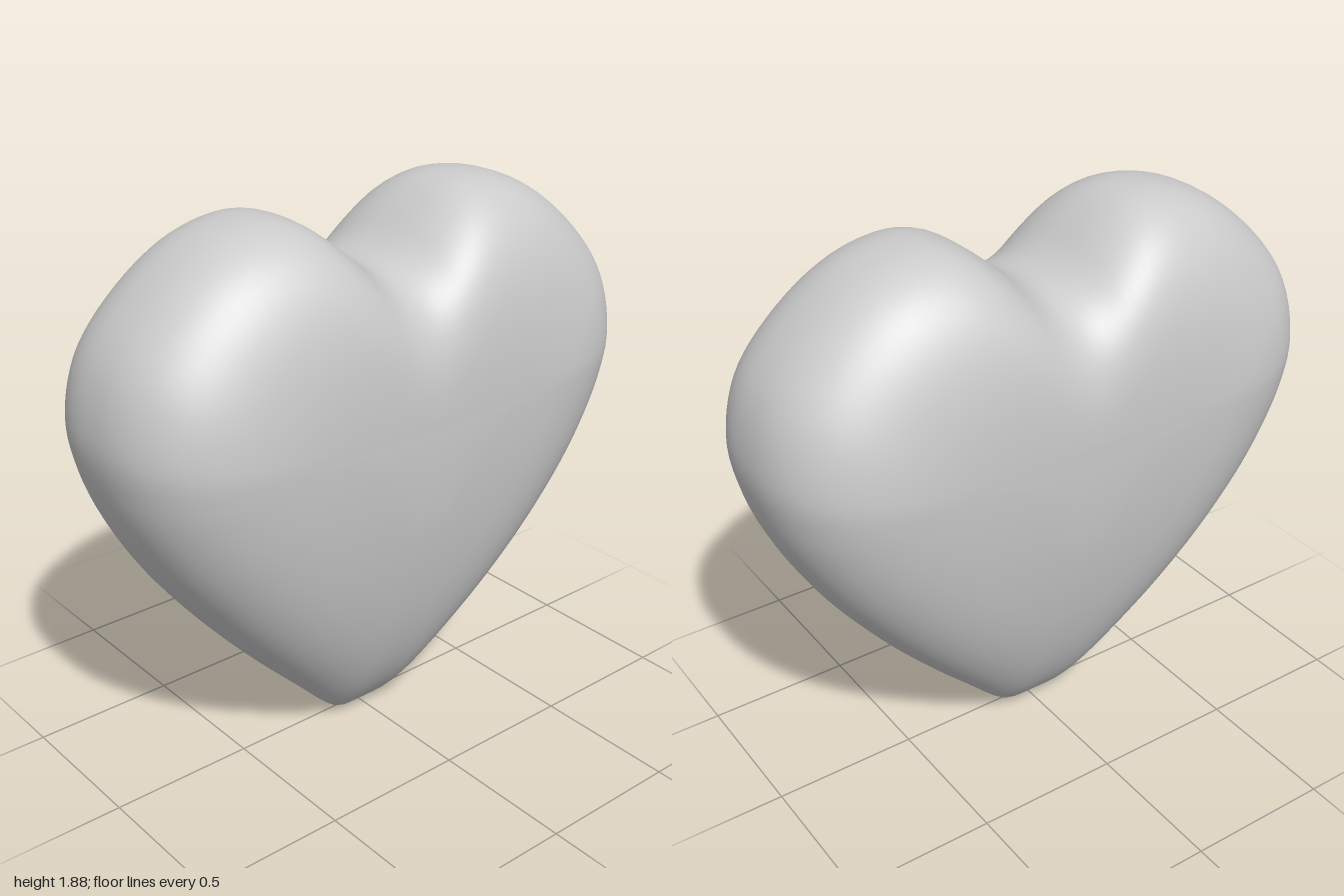
import * as THREE from 'three';

const SPINE_Y = 1.2;     // the outline shrinks to a level line at this height
const SPINE_WIDTH = 0.45; // length of that line as a share of the outline
const AROUND = 160;      // points around the outline
const RINGS = 80;        // rings from one cheek to the other
const BLUFF = 2.4;       // above 2 makes the rim squarer than an ellipse

// Half outline as [z, y], from the notch round the lobe to the tip
const half = [
  [0.045, 1.677], [0.11, 1.713], [0.2, 1.79], [0.3, 1.856], [0.415, 1.88],
  [0.6, 1.84], [0.79, 1.715], [0.945, 1.53], [1, 1.31], [0.975, 1.14], [0.92, 0.99],
  [0.81, 0.79], [0.64, 0.563], [0.46, 0.36], [0.27, 0.167], [0.16, 0.055], [0.11, 0.014], [0.08, 0.002],
];

// Half thickness of the body: even through the lobes, a wedge towards the tip
function thickness(y) {
  const t = Math.max(0, 1 - (y + 0.04) / 1.29);
  return 0.4 * Math.pow(1 - Math.pow(t, 1.7), 0.6);
}

// How tightly the rim is rounded: soft over the lobes, crisp at the tip
function rimTightness(y) {
  return 3 + 7 * Math.pow(1 - Math.min(y / SPINE_Y, 1), 2);
}

function heartGeometry() {
  const mirrored = half.map(([z, y]) => [-z, y]).reverse();
  const outline = [[0, 1.67], ...half, [0, 0], ...mirrored];
  const curve = new THREE.CatmullRomCurve3(
    outline.map(([z, y]) => new THREE.Vector3(0, y, z)), true, 'centripetal');
  const loop = curve.getSpacedPoints(AROUND).slice(0, AROUND);

  const positions = [];
  const index = [];
  for (let i = 0; i <= RINGS; i++) {
    // Rings run from the +x cheek over the rim to the -x cheek
    const u = 1 - Math.abs(1 - (2 * i) / RINGS);
    const side = i <= RINGS / 2 ? 1 : -1;
    const phi = (Math.PI / 2) * u * u;
    const across = Math.pow(Math.max(0, Math.cos(phi)), 2 / BLUFF);
    for (let j = 0; j < AROUND; j++) {
      const r = Math.pow(Math.sin(phi), 2 / rimTightness(loop[j].y));
      const y = Math.max(0, SPINE_Y + (loop[j].y - SPINE_Y) * r);
      const z = loop[j].z * (SPINE_WIDTH + (1 - SPINE_WIDTH) * r);
      positions.push(side * thickness(y) * across, y, z);
      if (i < RINGS) {
        const k = (j + 1) % AROUND;
        const a = i * AROUND + j, b = a + AROUND;
        const d = i * AROUND + k, c = d + AROUND;
        index.push(a, b, c, a, c, d);
      }
    }
  }
  const geometry = new THREE.BufferGeometry();
  geometry.setAttribute('position', new THREE.Float32BufferAttribute(positions, 3));
  geometry.setIndex(index);
  geometry.computeVertexNormals();
  // The middle of each cheek faces straight sideways
  const normal = geometry.attributes.normal;
  for (let j = 0; j < AROUND; j++) {
    normal.setXYZ(j, 1, 0, 0);
    normal.setXYZ(RINGS * AROUND + j, -1, 0, 0);
  }
  return geometry;
}

export function createModel() {
  const group = new THREE.Group();
  group.name = 'heartModel';
  const heart = new THREE.Mesh(heartGeometry(), new THREE.MeshStandardMaterial({ color: 0xcccccc }));
  heart.name = 'heart';
  group.add(heart);
  return group;
}
